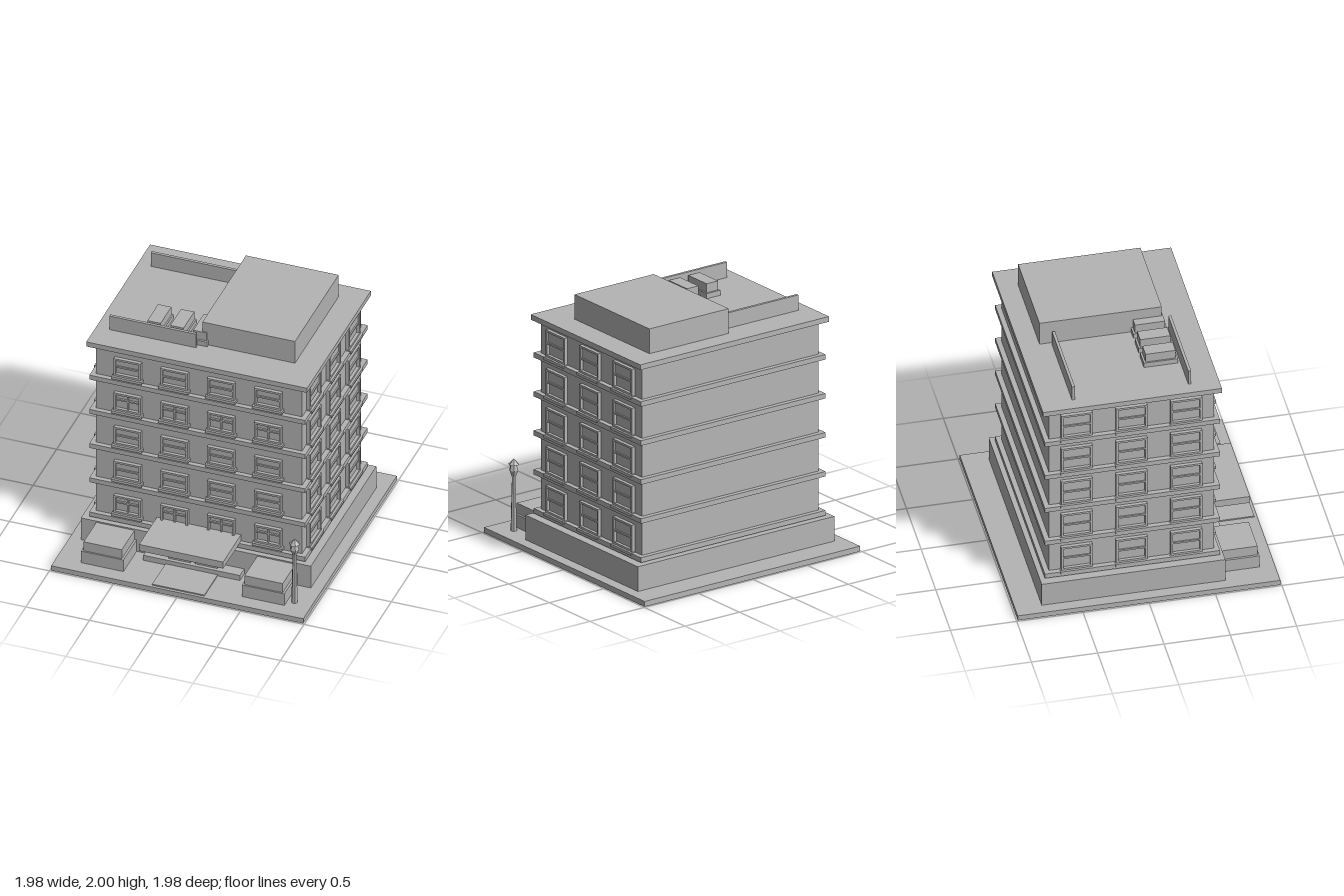
import * as THREE from 'three';

const stone = new THREE.MeshStandardMaterial({ color: 0xb4b4b4 });
stone.name = 'plain grey';

function add(parent, name, geometry) {
  const mesh = new THREE.Mesh(geometry, stone);
  mesh.name = name;
  parent.add(mesh);
  return mesh;
}

// Box given by its limits along each axis
function block(parent, name, [x0, x1], [y0, y1], [z0, z1]) {
  const mesh = add(parent, name, new THREE.BoxGeometry(x1 - x0, y1 - y0, z1 - z0));
  mesh.position.set((x0 + x1) / 2, (y0 + y1) / 2, (z0 + z1) / 2);
  return mesh;
}

// Rectangular frame in the xy plane, standing on y = 0
function frameGeometry(w, h, border, depth) {
  const shape = new THREE.Shape();
  shape.moveTo(-w / 2, 0).lineTo(w / 2, 0).lineTo(w / 2, h).lineTo(-w / 2, h).closePath();
  const hole = new THREE.Path();
  const a = w / 2 - border;
  hole.moveTo(-a, border).lineTo(-a, h - border).lineTo(a, h - border).lineTo(a, border).closePath();
  shape.holes.push(hole);
  return new THREE.ExtrudeGeometry(shape, { depth, bevelEnabled: false });
}

// Window facing +z; its frame stands on the sill at y = 0
function makeWindow(w, h, sillW, sillH, sillDepth, cross) {
  const g = new THREE.Group();
  g.name = 'window';
  const a = w / 2 - 0.016;
  add(g, 'windowFrame', frameGeometry(w, h, 0.016, 0.028));
  block(g, 'windowSill', [-sillW / 2, sillW / 2], [-sillH, 0], [-0.005, sillDepth]);
  block(g, 'windowPane', [-a, a], [0.01, h - 0.01], [-0.002, 0.004]);
  if (cross) {
    block(g, 'windowBar', [-0.006, 0.006], [0.016, h - 0.016], [0, 0.018]);
    block(g, 'windowRail', [-a, a], [h * 0.55, h * 0.55 + 0.012], [0, 0.018]);
  } else {
    block(g, 'upperSash', [-a, a], [h * 0.52, h - 0.016], [0, 0.014]);
    block(g, 'windowRail', [-a, a], [h * 0.48, h * 0.48 + 0.014], [0, 0.024]);
  }
  return g;
}

function makeLamp() {
  const g = new THREE.Group();
  g.name = 'streetLamp';
  // Six-sided post, lantern and cap
  const turned = (name, points) => {
    const geo = new THREE.LatheGeometry(points.map(p => new THREE.Vector2(...p)), 6).toNonIndexed();
    geo.computeVertexNormals();
    add(g, name, geo);
  };
  turned('lampPost', [[0, 0], [0.025, 0], [0.014, 0.44], [0, 0.44]]);
  turned('lantern', [[0, 0.43], [0.018, 0.43], [0.036, 0.475], [0.022, 0.525], [0, 0.525]]);
  turned('lampCap', [[0, 0.52], [0.042, 0.52], [0, 0.565]]);
  g.position.set(0.853, 0.04, 0.806);
  g.rotation.y = Math.PI / 6;
  return g;
}

export function createModel() {
  const model = new THREE.Group();
  model.name = 'apartmentBuilding';

  // Ground, plinth, walls and roof
  block(model, 'ground', [-0.99, 0.99], [0, 0.042], [-0.99, 0.99]);
  block(model, 'plinth', [-0.903, 0.903], [0.04, 0.236], [-0.79, 0.595]);
  block(model, 'walls', [-0.81, 0.81], [0.236, 1.77], [-0.716, 0.53]);
  block(model, 'roofSlab', [-0.867, 0.867], [1.765, 1.806], [-0.772, 0.577]);

  // Five storeys, each with a ledge and windows on three sides
  for (let floor = 0; floor < 5; floor++) {
    const y = 0.284 + floor * 0.3057;
    block(model, 'floorLedge', [-0.848, 0.848], [y - 0.039, y], [-0.754, 0.566]);
    const cross = floor === 0 || floor === 3;
    for (const x of [-0.554, -0.186, 0.181, 0.55]) {
      const w = makeWindow(0.213, 0.153, 0.236, 0.022, 0.045, cross);
      w.position.set(x, y + 0.035, 0.53);
      model.add(w);
    }
    for (const side of [-1, 1]) {
      for (const z of [0.317, -0.096, -0.51]) {
        const w = makeWindow(0.236, 0.21, 0.25, 0.022, 0.046, false);
        w.position.set(side * 0.81, y + 0.005, z);
        w.rotation.y = side * Math.PI / 2;
        model.add(w);
      }
    }
  }

  // Rooftop house, screen walls and cooling units
  block(model, 'roofHouse', [-0.058, 0.67], [1.806, 2], [-0.62, 0.302]);
  for (const z of [-0.52, 0.357]) {
    block(model, 'roofScreen', [-0.764, -0.083], [1.806, 1.927], [z - 0.011, z + 0.011]);
  }
  for (const x of [-0.434, -0.254, -0.074]) {
    block(model, 'coolerBase', [x - 0.064, x + 0.064], [1.806, 1.846], [0.07, 0.328]);
    block(model, 'coolerBody', [x - 0.052, x + 0.052], [1.846, 1.917], [0.085, 0.312]);
  }

  // Entrance: canopy, landing, mat and double doors
  block(model, 'canopy', [-0.33, 0.33], [0.28, 0.338], [0.53, 0.908]);
  block(model, 'landing', [-0.38, 0.38], [0.04, 0.087], [0.59, 0.687]);
  block(model, 'entranceMat', [-0.205, 0.205], [0.04, 0.052], [0.68, 0.968]);
  for (const side of [-1, 1]) {
    const x = side * 0.105;
    block(model, 'door', [x - 0.08, x + 0.08], [0.087, 0.275], [0.56, 0.648]);
    const frame = add(model, 'doorFrame', frameGeometry(0.174, 0.193, 0.012, 0.1));
    frame.position.set(x, 0.087, 0.56);
  }

  // Stepped planters beside the entrance
  for (const side of [-1, 1]) {
    const x = side * 0.632;
    block(model, 'planterBase', [x - 0.167, x + 0.167], [0.04, 0.145], [0.59, 0.876]);
    block(model, 'planterTop', [x - 0.15, x + 0.15], [0.145, 0.225], [0.59, 0.864]);
  }

  model.add(makeLamp());
  return model;
}
